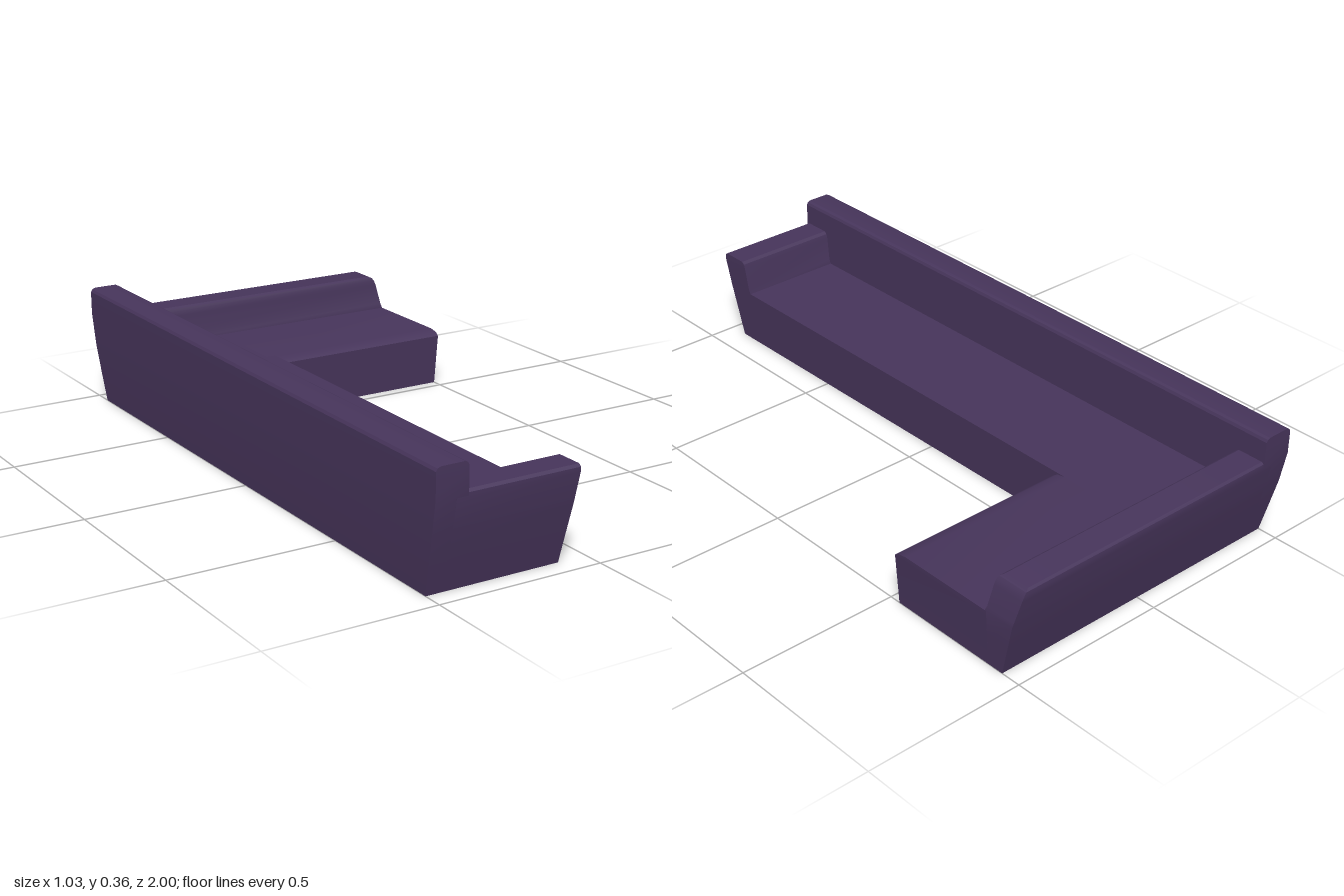
import * as THREE from 'three';
import { toCreasedNormals } from 'three/addons/utils/BufferGeometryUtils.js';

const fabric = new THREE.MeshStandardMaterial({ color: 0x46345a });

// Solid lofted upward through rectangles given as [y, x0, x1, z0, z1]
function stack(name, levels) {
  const pos = [], index = [];
  for (const [y, x0, x1, z0, z1] of levels) {
    pos.push(x0, y, z1, x1, y, z1, x1, y, z0, x0, y, z0);
  }
  for (let l = 0; l < levels.length - 1; l++) {
    for (let i = 0; i < 4; i++) {
      const a = l * 4 + i, b = l * 4 + (i + 1) % 4;
      index.push(a, b, b + 4, a, b + 4, a + 4);
    }
  }
  const t = (levels.length - 1) * 4;
  index.push(0, 2, 1, 0, 3, 2, t, t + 1, t + 2, t, t + 2, t + 3);
  const g = new THREE.BufferGeometry();
  g.setAttribute('position', new THREE.Float32BufferAttribute(pos, 3));
  g.setIndex(index);
  const mesh = new THREE.Mesh(toCreasedNormals(g, 0.45), fabric);
  mesh.name = name;
  return mesh;
}

export function createModel() {
  const model = new THREE.Group();
  model.name = 'cornerSofa';

  // Long backrest, flaring outward from the floor
  model.add(stack('backrest', [
    [0, -0.5, -0.415, -0.938, 0.938],
    [0.09, -0.506, -0.415, -0.96, 0.96],
    [0.18, -0.511, -0.415, -0.982, 0.982],
    [0.28, -0.513, -0.415, -1, 1],
    [0.35, -0.513, -0.415, -1, 1],
    [0.358, -0.508, -0.419, -1, 1],
    [0.362, -0.498, -0.427, -1, 1],
  ]));

  // Main seat
  model.add(stack('mainSeat', [
    [0, -0.45, -0.09, -0.885, 0.885],
    [0.175, -0.45, -0.078, -0.885, 0.885],
  ]));

  // Side seat with softened front edge
  model.add(stack('sideSeat', [
    [0, -0.11, 0.5, -0.885, -0.535],
    [0.16, -0.11, 0.511, -0.885, -0.53],
    [0.17, -0.11, 0.512, -0.885, -0.545],
    [0.175, -0.11, 0.512, -0.885, -0.575],
  ]));

  // Short arm at the front end: [y, x end, inner z, outer z]
  const frontArm = [
    [0, -0.09, 0.88, 0.938], [0.09, -0.084, 0.88, 0.96],
    [0.175, -0.078, 0.88, 0.981], [0.19, -0.077, 0.886, 0.984],
    [0.265, -0.071, 0.895, 0.998], [0.278, -0.071, 0.899, 0.998],
    [0.285, -0.071, 0.908, 0.99],
  ];
  model.add(stack('frontArm', frontArm.map(([y, x, zi, zo]) => [y, -0.45, x, zi, zo])));

  // Long rest behind the side seat, its free end leaning in and rounded on top
  const rearRest = [
    [0, 0.5, 0.88, 0.938], [0.09, 0.506, 0.88, 0.96],
    [0.175, 0.512, 0.88, 0.981], [0.19, 0.509, 0.886, 0.984],
    [0.255, 0.495, 0.894, 0.996], [0.27, 0.49, 0.896, 0.998],
    [0.28, 0.483, 0.9, 0.997], [0.285, 0.47, 0.908, 0.99],
  ];
  model.add(stack('rearRest', rearRest.map(([y, x, zi, zo]) => [y, -0.45, x, -zo, -zi])));

  return model;
}
